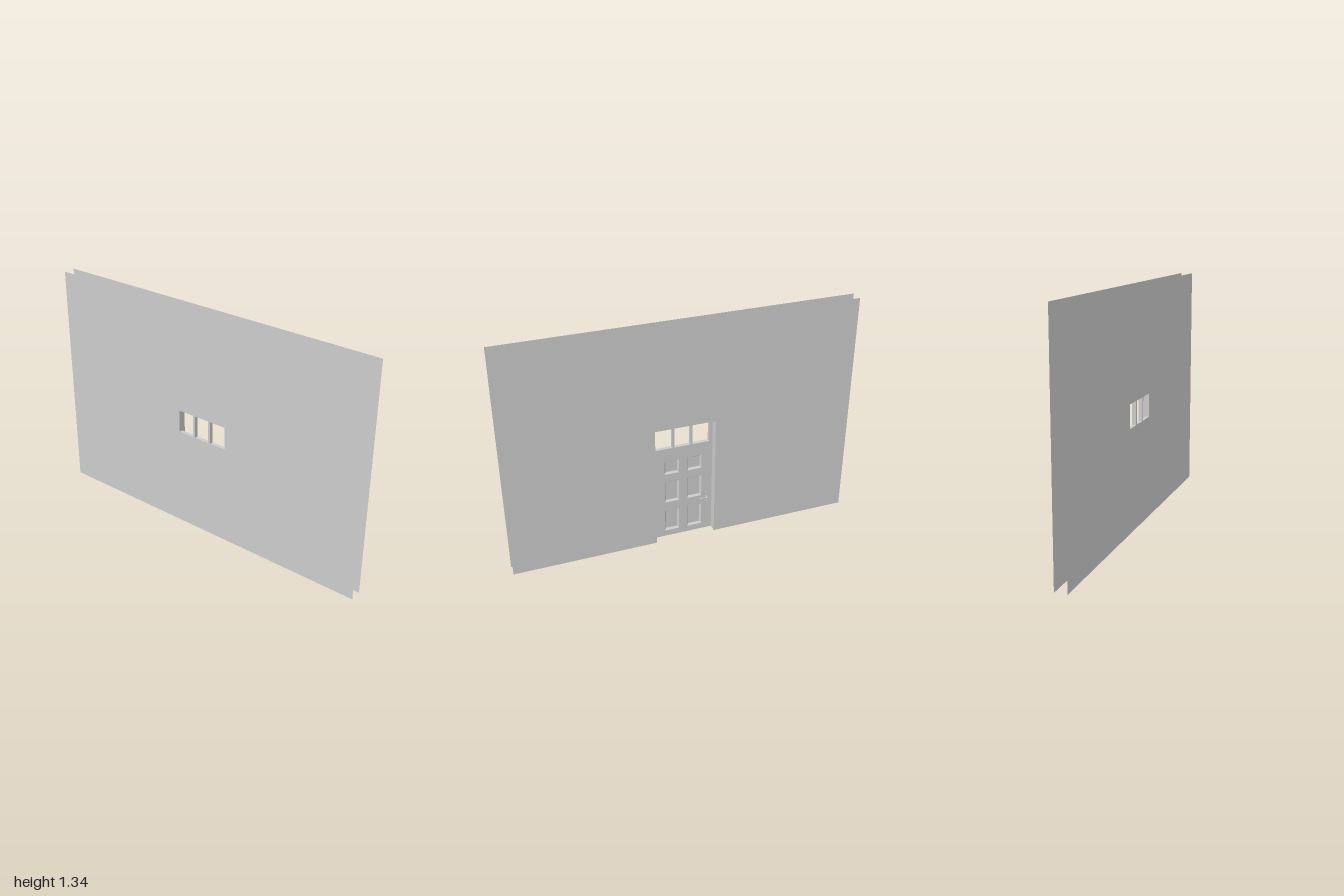
import * as THREE from 'three';

const FRONT = 0.034, BACK = -0.034, FACE = 0.012;
const WALL_H = 1.335, DOOR = { x0: -0.178, x1: 0.172, y0: 0, y1: 0.735 };
const WINDOWS = [[-0.158, -0.06], [-0.047, 0.045], [0.059, 0.157]]
  .map(([x0, x1]) => ({ x0, x1, y0: 0.587, y1: 0.72 }));
const PANELS = [[0.02, 0.105], [-0.115, -0.03]].flatMap(([x0, x1]) =>
  [[0.037, 0.173], [0.233, 0.369], [0.42, 0.505]].map(([y0, y1]) => ({ x0, x1, y0, y1 })));

const mat = new THREE.MeshStandardMaterial({ color: 0xcccccc, side: THREE.DoubleSide });

function add(parent, name, geometry, x = 0, y = 0, z = 0) {
  const mesh = new THREE.Mesh(geometry, mat);
  mesh.name = name;
  mesh.position.set(x, y, z);
  parent.add(mesh);
  return mesh;
}

const corners = r => [[r.x0, r.y0], [r.x1, r.y0], [r.x1, r.y1], [r.x0, r.y1]]
  .map(p => new THREE.Vector2(...p));

// Flat sheet with rectangular openings
function sheet(outline, holes) {
  const shape = new THREE.Shape(outline);
  shape.holes = holes.map(r => new THREE.Path(corners(r).reverse()));
  return new THREE.ShapeGeometry(shape);
}

// Box keeping only the chosen sides (order +x, -x, +y, -y, +z, -z);
// its +z end is drawn in by the inset
function partialBox(r, z0, z1, sides, inset = 0) {
  const w = r.x1 - r.x0, h = r.y1 - r.y0;
  const g = new THREE.BoxGeometry(w, h, z1 - z0);
  const p = g.attributes.position;
  for (let i = 0; i < p.count; i++) {
    if (p.getZ(i) > 0) {
      p.setX(i, p.getX(i) - Math.sign(p.getX(i)) * inset);
      p.setY(i, p.getY(i) - Math.sign(p.getY(i)) * inset);
    }
  }
  const index = Array.from(g.index.array);
  g.setIndex(sides.flatMap(s => index.slice(s * 6, s * 6 + 6)));
  g.clearGroups();
  // The sides are looked at from within, so turn them inward
  const idx = g.index.array;
  for (let i = 0; i < idx.length; i += 3) [idx[i + 1], idx[i + 2]] = [idx[i + 2], idx[i + 1]];
  g.translate((r.x0 + r.x1) / 2, (r.y0 + r.y1) / 2, (z0 + z1) / 2);
  const flat = g.toNonIndexed();
  flat.computeVertexNormals();
  return flat;
}

export function createModel() {
  const model = new THREE.Group();
  model.name = 'doorInWall';

  // Front skin with the window openings
  const wall = corners({ x0: -1, x1: 1, y0: 0, y1: WALL_H });
  add(model, 'frontWall', sheet(wall, WINDOWS), 0, 0, FRONT);

  // Back skin, notched for the doorway
  const d = corners(DOOR);
  const notched = [wall[0], d[0], d[3], d[2], d[1], wall[1], wall[2], wall[3]];
  const back = sheet(notched.map(p => new THREE.Vector2(-p.x, p.y)), []);
  add(model, 'backWall', back, 0, 0, BACK).rotation.y = Math.PI;

  // Jambs and head lining the doorway
  add(model, 'doorway', partialBox(DOOR, BACK, FRONT, [0, 1, 2]));

  // Door leaf with windows and sunk panels
  const door = new THREE.Group();
  door.name = 'door';
  model.add(door);
  const mirrorX = r => ({ ...r, x0: -r.x1, x1: -r.x0 });
  const leaf = sheet(corners(mirrorX(DOOR)), [...WINDOWS, ...PANELS].map(mirrorX));
  add(door, 'doorFace', leaf, 0, 0, FACE).rotation.y = Math.PI;
  add(door, 'doorBottom', partialBox(DOOR, FACE, FRONT, [3]));
  WINDOWS.forEach(r => add(door, 'windowReveal', partialBox(r, FACE, FRONT, [0, 1, 2, 3])));
  PANELS.forEach(r => add(door, 'sunkPanel', partialBox(r, FACE, FACE + 0.012, [0, 1, 2, 3, 4], 0.009)));

  // Lever handle on its plate, with a lock below
  const handle = new THREE.Group();
  handle.name = 'handle';
  handle.position.set(-0.145, 0.215, FACE);
  door.add(handle);
  add(handle, 'handlePlate', new THREE.BoxGeometry(0.013, 0.08, 0.003), 0, 0, -0.0015);
  const stem = new THREE.CylinderGeometry(0.0035, 0.0035, 0.02, 12).rotateX(Math.PI / 2);
  add(handle, 'handleStem', stem, 0, 0.008, -0.011);
  const lever = new THREE.CylinderGeometry(0.0035, 0.0035, 0.05, 12).rotateZ(Math.PI / 2);
  add(handle, 'lever', lever, 0.0215, 0.008, -0.02);
  const lock = new THREE.CylinderGeometry(0.004, 0.004, 0.004, 12).rotateX(Math.PI / 2);
  add(handle, 'lock', lock, 0, -0.022, -0.004);

  return model;
}
